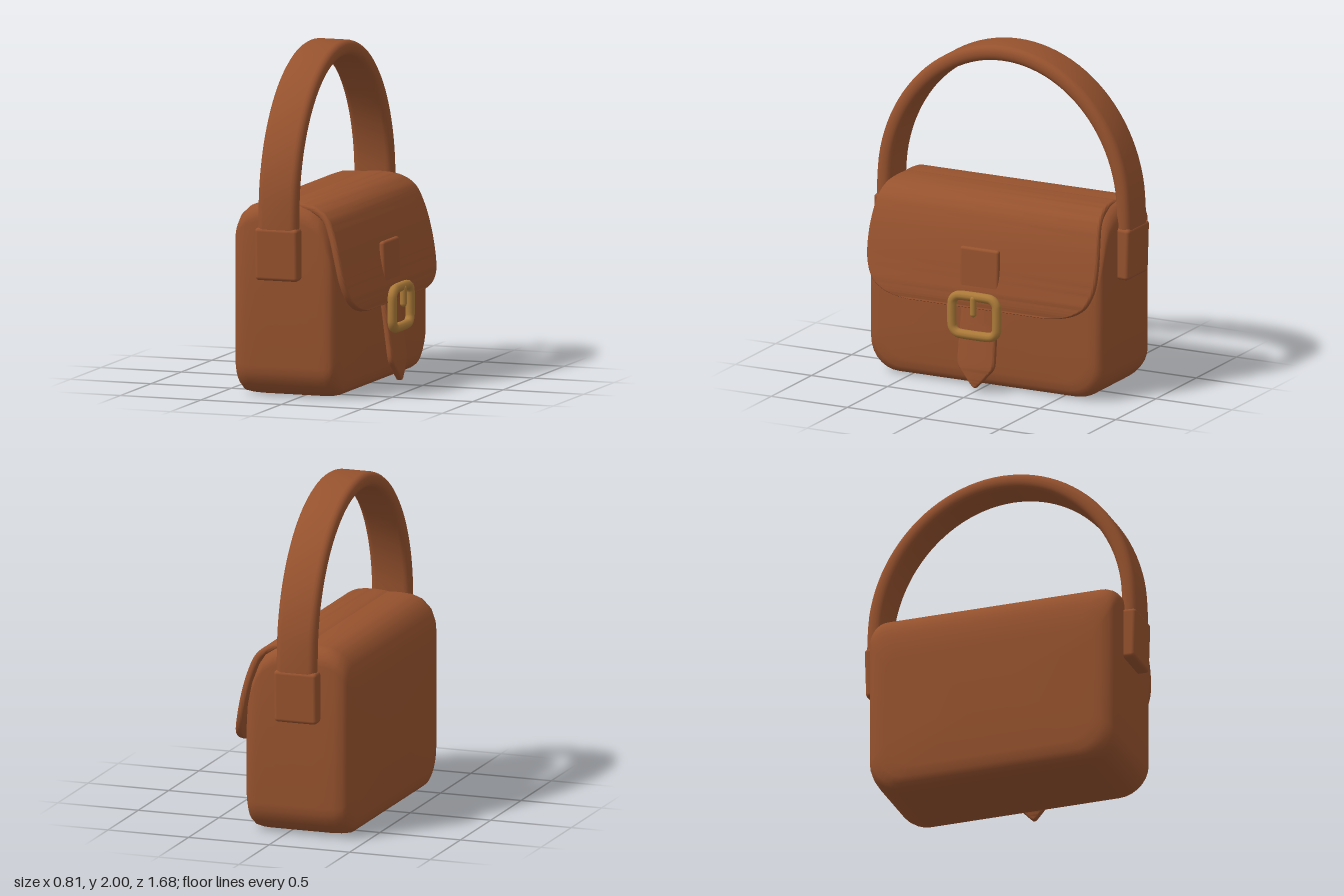
import * as THREE from 'three';
import { toCreasedNormals } from 'three/addons/utils/BufferGeometryUtils.js';
import { RoundedBoxGeometry } from 'three/addons/geometries/RoundedBoxGeometry.js';

// Closed outline of a rounded rectangle with separate low and high corner radii
function roundedRect(a0, a1, b0, b1, rLow, rHigh, n = 6) {
  const corners = [
    [a1 - rHigh, b1 - rHigh, rHigh, 0], [a0 + rHigh, b1 - rHigh, rHigh, 1],
    [a0 + rLow, b0 + rLow, rLow, 2], [a1 - rLow, b0 + rLow, rLow, 3],
  ];
  const points = [];
  for (const [a, b, r, quarter] of corners) {
    for (let i = 0; i <= n; i++) {
      const t = (quarter + i / n) * Math.PI / 2;
      points.push([a + r * Math.cos(t), b + r * Math.sin(t)]);
    }
  }
  return points;
}

// Skin a row of equal-length rings, cap both ends and face everything outward
function loft(rings, crease = 0.6) {
  const n = rings[0].length;
  const positions = rings.flat(2);
  const index = [];
  for (let i = 0; i < rings.length - 1; i++) {
    for (let j = 0; j < n; j++) {
      const a = i * n + j, b = i * n + (j + 1) % n;
      index.push(a, b, b + n, a, b + n, a + n);
    }
  }
  for (const end of [0, rings.length - 1]) {
    const center = positions.length / 3;
    positions.push(...[0, 1, 2].map(k => rings[end].reduce((s, p) => s + p[k], 0) / n));
    for (let j = 0; j < n; j++) {
      const a = end * n + j, b = end * n + (j + 1) % n;
      index.push(...(end ? [a, b, center] : [b, a, center]));
    }
  }
  const at = i => new THREE.Vector3().fromArray(positions, i * 3);
  let volume = 0;
  for (let i = 0; i < index.length; i += 3) {
    volume += at(index[i]).dot(at(index[i + 1]).cross(at(index[i + 2])));
  }
  if (volume < 0) index.reverse();
  const geometry = new THREE.BufferGeometry();
  geometry.setAttribute('position', new THREE.Float32BufferAttribute(positions, 3));
  geometry.setIndex(index);
  return toCreasedNormals(geometry, crease);
}

// Thick band along a planar path of [u, v, halfWidth]; place maps (u, v, across) to xyz
function band(path, thickness, steps, place) {
  const curve = new THREE.CatmullRomCurve3(path.map(p => new THREE.Vector3(...p)), false, 'centripetal');
  const rings = [];
  for (let i = 0; i <= steps; i++) {
    const p = curve.getPoint(i / steps), d = curve.getTangent(i / steps);
    const length = Math.hypot(d.x, d.y) || 1;
    const half = Math.max(p.z, 0.004);
    const h = thickness / 2 * (i === 0 || i === steps ? 0.6 : 1);
    const r = Math.min(h, half) * 0.85;
    rings.push(roundedRect(-half, half, -h, h, r, r, 4).map(([across, out]) =>
      place(p.x - d.y / length * out, p.y + d.x / length * out, across)));
  }
  return loft(rings, 0.8);
}

export function createModel() {
  const leather = new THREE.MeshStandardMaterial({ color: 0x96522e });
  leather.name = 'brown leather';
  const brass = new THREE.MeshStandardMaterial({ color: 0xab7a38 });
  brass.name = 'brass';

  const bag = new THREE.Group();
  bag.name = 'handbag';
  const add = (name, geometry, material = leather) => {
    const mesh = new THREE.Mesh(geometry, material);
    mesh.name = name;
    bag.add(mesh);
    return mesh;
  };

  // Body: sections from back to front as [x, halfWidth, bottom, top]
  const sections = [
    [-0.41, 0.64, 0.12, 0.85], [-0.402, 0.69, 0.06, 0.95], [-0.385, 0.735, 0.03, 1.02],
    [-0.36, 0.755, 0.01, 1.065], [-0.31, 0.763, 0.003, 1.11], [-0.25, 0.765, 0, 1.13],
    [-0.18, 0.765, 0, 1.135], [0.0, 0.765, 0, 1.13], [0.07, 0.765, 0, 1.11],
    [0.13, 0.765, 0, 1.07], [0.17, 0.765, 0.002, 1.01], [0.205, 0.763, 0.01, 0.92],
    [0.228, 0.752, 0.025, 0.82], [0.243, 0.725, 0.05, 0.72], [0.25, 0.68, 0.1, 0.64],
  ];
  add('body', loft(sections.map(([x, w, y0, y1]) =>
    roundedRect(-w, w, y0, y1, 0.18, 0.1, 7).map(([z, y]) => [x, y, z])), 0.8));

  // Flap folding over the top and down the face
  add('flap', band([
    [-0.12, 1.115, 0.69], [0, 1.118, 0.7], [0.1, 1.1, 0.715], [0.17, 1.05, 0.73],
    [0.215, 0.95, 0.745], [0.25, 0.82, 0.755], [0.28, 0.68, 0.745], [0.305, 0.58, 0.7],
    [0.318, 0.53, 0.63], [0.324, 0.505, 0.55], [0.327, 0.492, 0.45],
  ], 0.042, 50, (u, v, across) => [u, v, across]));

  // Arched handle, with straight ends running into the side tabs
  const arch = [[0.785, 0.75, 0.122], [0.79, 0.92, 0.122]];
  for (let i = 0; i <= 16; i++) {
    const t = i / 16 * Math.PI;
    arch.push([0.788 * Math.cos(t), 1.08 + 0.872 * Math.sin(t), 0.122]);
  }
  arch.push([-0.79, 0.92, 0.122], [-0.785, 0.75, 0.122]);
  add('handle', band(arch, 0.092, 64, (u, v, across) => [across - 0.095, v, u]));

  // Tabs that hold the handle on each side
  for (const side of [1, -1]) {
    const tab = add(side > 0 ? 'leftHandleTab' : 'rightHandleTab',
      new RoundedBoxGeometry(0.265, 0.31, 0.1, 3, 0.022));
    tab.position.set(-0.097, 0.85, side * 0.787);
    tab.rotation.x = side * 0.03;
  }

  // Closing strap: stitched top piece and pointed tongue
  const top = add('strapTop', new RoundedBoxGeometry(0.035, 0.35, 0.255, 3, 0.016));
  top.position.set(0.297, 0.675, 0);
  top.rotation.z = 0.03;
  add('strapTongue', band([
    [0.275, 0.7, 0.12], [0.29, 0.55, 0.12], [0.309, 0.4, 0.12], [0.328, 0.26, 0.122],
    [0.343, 0.15, 0.118], [0.349, 0.105, 0.085], [0.354, 0.06, 0.045], [0.358, 0.025, 0.01],
  ], 0.038, 36, (u, v, across) => [u, v, across]));

  // Buckle frame: round bar bent into a rounded rectangle
  const bar = roundedRect(-0.147, 0.147, 0.342, 0.573, 0.055, 0.055, 5)
    .map(([z, y]) => new THREE.Vector3(0.366, y, z));
  add('buckleFrame', new THREE.TubeGeometry(
    new THREE.CatmullRomCurve3(bar, true, 'centripetal'), 96, 0.028, 10, true), brass);

  // Buckle prong hanging from the top bar
  const prong = add('buckleProng', new THREE.CapsuleGeometry(0.02, 0.09, 5, 12), brass);
  prong.position.set(0.38, 0.52, 0);
  return bag;
}
